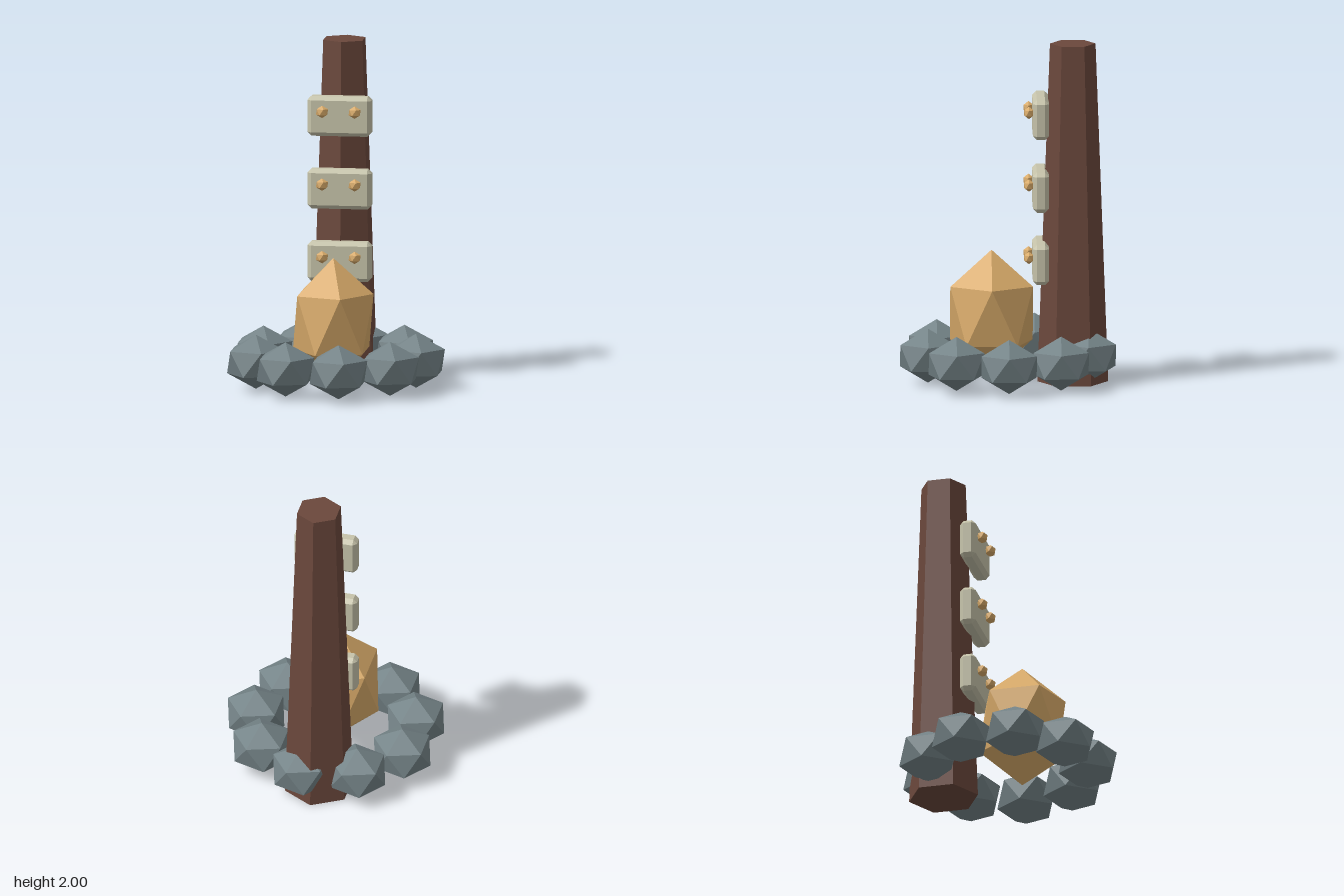
import * as THREE from 'three';
import { ConvexGeometry } from 'three/addons/geometries/ConvexGeometry.js';

const CX = -0.016; // shared centre line of all parts

function material(name, color) {
  const m = new THREE.MeshStandardMaterial({ color });
  m.name = name;
  return m;
}

// Icosahedron of radius 1 standing on one of its corners
function gemGeometry() {
  const pts = [new THREE.Vector3(0, 1, 0), new THREE.Vector3(0, -1, 0)];
  const h = 1 / Math.sqrt(5), r = 2 * h;
  for (let i = 0; i < 10; i++) {
    const a = (i * Math.PI) / 5;
    pts.push(new THREE.Vector3(r * Math.cos(a), i % 2 ? -h : h, r * Math.sin(a)));
  }
  return new ConvexGeometry(pts);
}

// Box with every edge and corner cut flat
function chamferedBox(w, h, d, c) {
  const pts = [];
  for (const x of [-1, 1]) for (const y of [-1, 1]) for (const z of [-1, 1]) {
    for (let axis = 0; axis < 3; axis++) {
      const cut = [c, c, c];
      cut[axis] = 0;
      pts.push(new THREE.Vector3(x * (w / 2 - cut[0]), y * (h / 2 - cut[1]), z * (d / 2 - cut[2])));
    }
  }
  return new ConvexGeometry(pts);
}

export function createModel() {
  const model = new THREE.Group();
  const wood = material('dark wood', 0x6b483c);
  const bone = material('pale plank', 0xc6c3aa);
  const gold = material('amber', 0xd9ab6a);
  const stone = material('grey stone', 0x748387);
  const gem = gemGeometry();

  function add(name, geometry, mat, x, y, z, sx = 1, sy = 1, sz = 1) {
    const mesh = new THREE.Mesh(geometry, mat);
    mesh.name = name;
    mesh.position.set(x, y, z);
    mesh.scale.set(sx, sy, sz);
    model.add(mesh);
  }

  // Tapered six-sided post behind the fire
  const post = new THREE.CylinderGeometry(0.133, 0.207, 2, 6).toNonIndexed();
  post.computeVertexNormals();
  add('post', post, wood, CX, 1, -0.379);

  // Three planks, each held by two studs
  const plank = chamferedBox(0.376, 0.235, 0.094, 0.023);
  [0.715, 1.144, 1.574].forEach((y) => {
    add('plank', plank, bone, CX, y, -0.191);
    for (const side of [-1, 1]) {
      add('stud', gem, gold, CX + side * 0.096, y + 0.032, -0.122, 0.04, 0.037, 0.034);
    }
  });

  // Faceted flame
  add('flame', gem, gold, CX, 0.405, 0.095, 0.265, 0.375, 0.284);

  // Ring of stones
  for (let i = 0; i < 9; i++) {
    const a = (i * Math.PI * 2) / 9;
    add('stone', gem, stone, CX + 0.4745 * Math.cos(a), 0.168, 0.4745 * Math.sin(a), 0.19, 0.16, 0.19);
  }
  return model;
}
